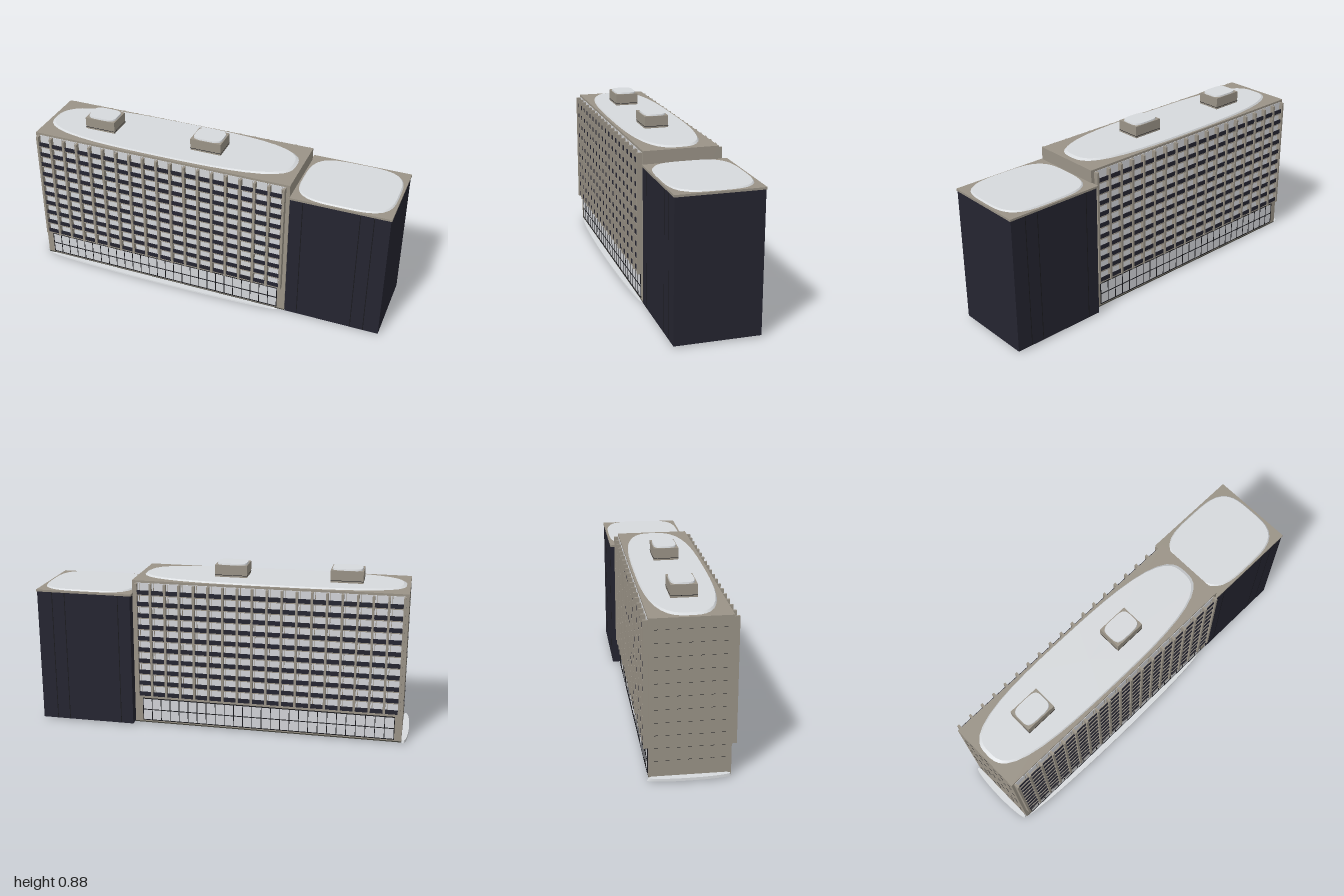
import * as THREE from 'three';
import { mergeGeometries } from 'three/addons/utils/BufferGeometryUtils.js';

const mat = (name, color) => {
  const m = new THREE.MeshStandardMaterial({ color });
  m.name = name;
  return m;
};

// Box given by its minimum and maximum corners
function box(x0, x1, y0, y1, z0, z1) {
  return new THREE.BoxGeometry(x1 - x0, y1 - y0, z1 - z0)
    .translate((x0 + x1) / 2, (y0 + y1) / 2, (z0 + z1) / 2);
}

// Thin rounded slab with a superellipse outline and a bevelled rim
function drift(x0, x1, y0, y1, z0, z1, power = 3) {
  const geo = new THREE.CylinderGeometry(0.97, 1, 1, 48);
  const p = geo.attributes.position;
  for (let i = 0; i < p.count; i++) {
    const x = p.getX(i), z = p.getZ(i), r = Math.hypot(x, z);
    if (r < 1e-6) continue;
    const k = r / Math.pow(Math.pow(Math.abs(x / r), power) + Math.pow(Math.abs(z / r), power), 1 / power);
    p.setXYZ(i, (x / r) * k, p.getY(i), (z / r) * k);
  }
  geo.scale((x1 - x0) / 2, y1 - y0, (z1 - z0) / 2);
  geo.translate((x0 + x1) / 2, (y0 + y1) / 2, (z0 + z1) / 2);
  geo.computeVertexNormals();
  return geo;
}

export function createModel() {
  const concrete = mat('concrete', 0x9a9387);
  const navy = mat('dark cladding', 0x242430);
  const pale = mat('pale panel', 0xd2d4d8);
  const snow = mat('roof white', 0xd6d9dc);
  const frame = mat('frame', 0x1a1a1e);
  const plinth = mat('plinth', 0x42413a);

  const model = new THREE.Group();
  const add = (name, geos, material, parent = model) => {
    const mesh = new THREE.Mesh(Array.isArray(geos) ? mergeGeometries(geos) : geos, material);
    mesh.name = name;
    parent.add(mesh);
    return mesh;
  };

  // Main slab block
  add('mainBlock', box(-0.965, 0.475, 0.012, 0.805, -0.19, 0.2), concrete);
  add('mainPlinth', box(-0.965, 0.475, 0.006, 0.012, -0.19, 0.2), plinth);
  add('mainRoofCover', drift(-0.95, 0.45, 0.803, 0.813, -0.18, 0.185), snow);

  // Long facades, front and back
  const bays = 18, floors = 10;
  const left = -0.945, right = 0.45, low = 0.163, high = 0.793;
  const pitch = (right - left) / bays, rise = (high - low) / floors;
  for (const side of [1, -1]) {
    const facade = new THREE.Group();
    facade.name = side > 0 ? 'frontFacade' : 'backFacade';
    model.add(facade);
    const wall = side > 0 ? 0.2 : -0.19;
    // Box standing out from the wall between two distances
    const out = (x0, x1, y0, y1, a, b) => {
      const z = [wall + side * a, wall + side * b].sort((m, n) => m - n);
      return box(x0, x1, y0, y1, z[0], z[1]);
    };

    add('windowPanels', out(left, right, low, high, -0.002, 0.002), pale, facade);

    const fins = [], slabs = [], balustrades = [], posts = [];
    for (let i = 0; i <= bays; i++) {
      const x = left + i * pitch;
      fins.push(out(x - 0.006, x + 0.006, 0.16, 0.792, -0.002, side > 0 ? 0.027 : 0.024));
      if (i < bays) posts.push(out(x + pitch * 0.78, x + pitch * 0.78 + 0.003, low, high, 0, 0.004));
    }
    for (let j = 0; j < floors; j++) {
      const y = low + j * rise;
      slabs.push(out(left, right, y - 0.002, y + 0.003, 0, 0.02));
      for (let i = 0; i < bays; i++) {
        const x = left + i * pitch;
        balustrades.push(out(x + 0.006, x + pitch - 0.006, y + 0.003, y + 0.026, 0.014, 0.018));
      }
    }
    add('fins', fins, concrete, facade);
    add('floorSlabs', slabs, concrete, facade);
    add('balustrades', balustrades, navy, facade);
    add('windowPosts', posts, concrete, facade);

    // Glazed ground floor
    const gx0 = -0.925, gx1 = 0.43, cols = 27;
    add('groundGlazing', out(gx0, gx1, 0.022, 0.145, -0.002, 0.002), pale, facade);
    const bars = [];
    for (let i = 0; i <= cols; i++) {
      const x = gx0 + (i * (gx1 - gx0)) / cols;
      bars.push(out(x - 0.0018, x + 0.0018, 0.02, 0.147, 0, 0.004));
    }
    for (const y of [0.022, 0.082, 0.145]) bars.push(out(gx0, gx1, y - 0.002, y + 0.002, 0, 0.0045));
    add('groundMullions', bars, frame, facade);
  }

  // Broken panel joints on the left and right ends of the main block
  const joints = [];
  for (let j = 0; j < 11; j++) {
    const y = 0.1 + j * 0.065;
    for (let k = 0; k < 7; k++) {
      const z = -0.165 + k * 0.053;
      joints.push(box(-0.966, -0.964, y - 0.001, y + 0.001, z, z + 0.018));
    }
  }
  add('endWallJoints', joints, frame);

  // Roof plant rooms
  for (const x of [-0.64, -0.03]) {
    const room = new THREE.Group();
    room.name = 'plantRoom';
    model.add(room);
    add('plantRoomWalls', box(x - 0.085, x + 0.085, 0.8, 0.877, -0.057, 0.072), concrete, room);
    add('plantRoomJoint', box(x - 0.0855, x + 0.0855, 0.822, 0.8245, -0.0575, 0.0725), frame, room);
    add('plantRoomCover', drift(x - 0.08, x + 0.08, 0.876, 0.885, -0.053, 0.067, 4), snow, room);
  }

  // Dark side block with its concrete coping
  add('sideBlock', box(0.478, 0.992, 0.008, 0.727, -0.232, 0.203), navy);
  add('sideCoping', box(0.47, 0.996, 0.727, 0.738, -0.235, 0.206), concrete);
  add('sideRoofCover', drift(0.482, 0.985, 0.737, 0.745, -0.225, 0.197, 3.6), snow);
  const seams = [];
  for (const x of [0.545, 0.84, 0.91]) {
    seams.push(box(x - 0.002, x + 0.002, 0.012, 0.727, 0.202, 0.2035));
    seams.push(box(x - 0.002, x + 0.002, 0.012, 0.727, -0.2325, -0.231));
  }
  add('sideSeams', seams, frame);

  // Low white drifts at the foot of the building
  add('endDrift', drift(-1, -0.95, 0.006, 0.02, -0.2, 0.2, 2), snow);
  add('frontDrift', drift(-0.95, 0.44, 0, 0.008, 0.16, 0.235, 2), snow);

  return model;
}
